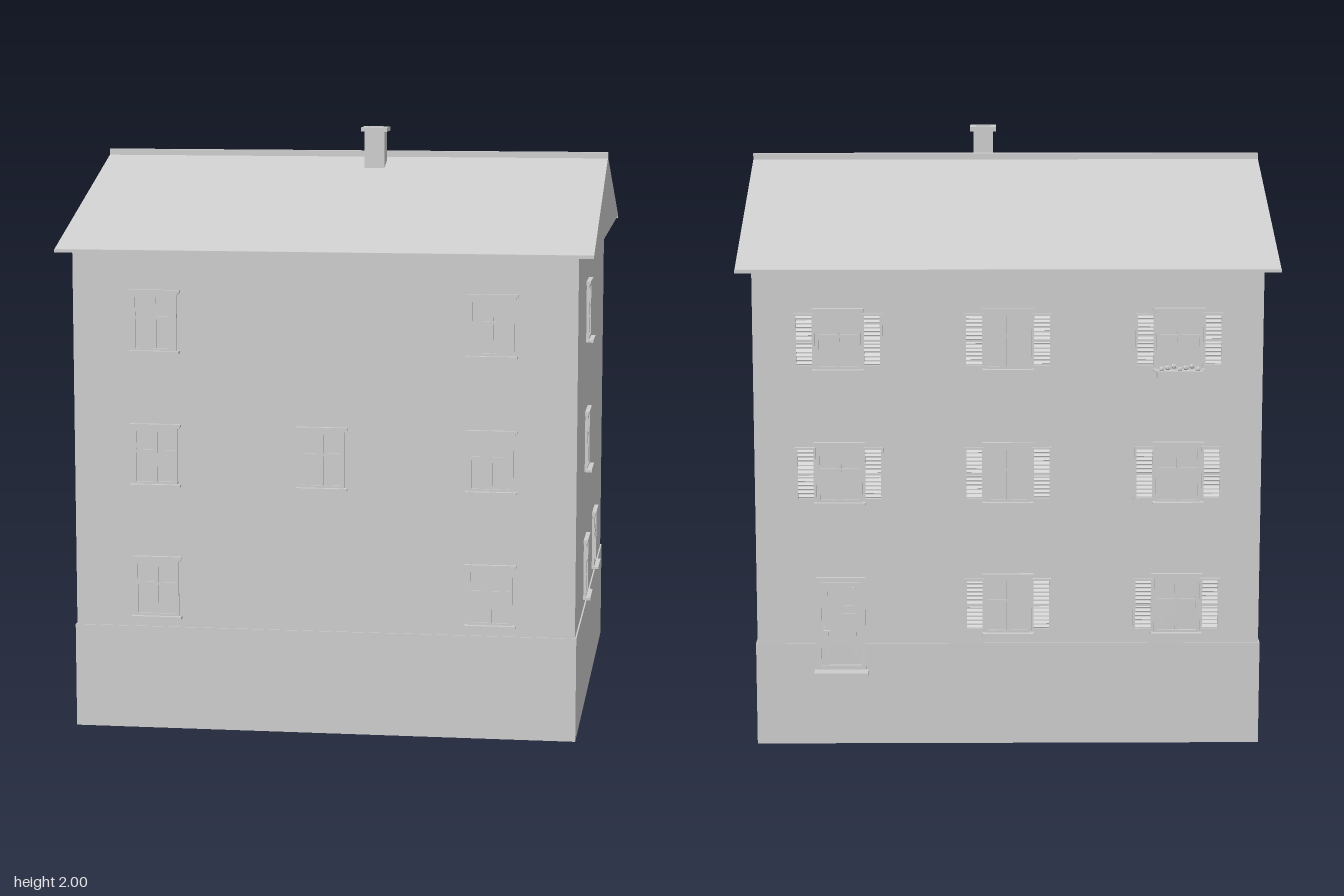
import * as THREE from 'three';

const wallGrey = new THREE.MeshStandardMaterial({ color: 0xcccccc });
wallGrey.name = 'plain grey';

const HX = 0.842, FRONT = 0.83, BACK = -0.825; // wall planes
const ROWS = [0.38, 0.83, 1.28];               // window sill heights

// Box given by its centre in x, bottom in y and back in z
function box(parent, name, x, y, z, w, h, d) {
  const mesh = new THREE.Mesh(new THREE.BoxGeometry(w, h, d), wallGrey);
  mesh.position.set(x, y + h / 2, z + d / 2);
  mesh.name = name;
  parent.add(mesh);
  return mesh;
}

// Extrude an outline drawn in (z, y) along x, centred
function prism(parent, name, points, length) {
  const shape = new THREE.Shape(points.map(([z, y]) => new THREE.Vector2(-z, y)));
  const geo = new THREE.ExtrudeGeometry(shape, { depth: length, bevelEnabled: false });
  geo.translate(0, 0, -length / 2).rotateY(Math.PI / 2);
  const mesh = new THREE.Mesh(geo, wallGrey);
  mesh.name = name;
  parent.add(mesh);
}

// Rectangular ring, centred in x, standing on y = y
function ring(parent, name, x, y, z, w, h, border, depth) {
  const s = new THREE.Shape();
  const rect = (p, b) => {
    p.moveTo(-w / 2 + b, b);
    p.lineTo(w / 2 - b, b);
    p.lineTo(w / 2 - b, h - b);
    p.lineTo(-w / 2 + b, h - b);
    p.closePath();
    return p;
  };
  rect(s, 0);
  s.holes.push(rect(new THREE.Path(), border));
  const mesh = new THREE.Mesh(new THREE.ExtrudeGeometry(s, { depth, bevelEnabled: false }), wallGrey);
  mesh.position.set(x, y, z);
  mesh.name = name;
  parent.add(mesh);
}

// Louvred shutter, 0.07 wide
function shutter(parent, x) {
  const g = new THREE.Group();
  g.name = 'shutter';
  const h = 0.182;
  ring(g, 'shutterFrame', 0, 0, 0, 0.068, h, 0.008, 0.009);
  box(g, 'shutterRail', 0, h / 2 - 0.004, 0, 0.054, 0.008, 0.009);
  for (let i = 0; i < 12; i++) {
    const y = 0.012 + i * 0.0138;
    box(g, 'slat', 0, y, 0.001, 0.054, 0.009, 0.003).rotation.x = -0.5;
  }
  g.position.set(x, 0.012, 0);
  parent.add(g);
}

// Window facing +z with its sill at the origin
function windowUnit(w, shutters) {
  const g = new THREE.Group();
  g.name = 'window';
  const h = 0.19;
  box(g, 'glass', 0, 0.008, -0.002, w - 0.01, h - 0.01, 0.004);
  ring(g, 'frame', 0, 0.006, 0, w, h, 0.01, 0.009);
  box(g, 'mullion', 0, 0.012, 0, 0.012, h - 0.014, 0.008);
  box(g, 'transom', 0, 0.113, 0, w - 0.016, 0.01, 0.007);
  box(g, 'sill', 0, 0, -0.005, w + 0.02, 0.008, 0.03);
  box(g, 'lintel', 0, 0.196, -0.005, w + 0.012, 0.006, 0.016);
  box(g, 'lintelCap', 0, 0.202, -0.005, w + 0.022, 0.009, 0.02);
  if (shutters) for (const s of [-1, 1]) shutter(g, s * (w / 2 + 0.037));
  return g;
}

function place(parent, object, x, y, z, turn) {
  object.position.set(x, y, z);
  object.rotation.y = turn;
  parent.add(object);
}

// Door facing +z, origin at the threshold
function door() {
  const g = new THREE.Group();
  g.name = 'door';
  box(g, 'doorLeaf', 0, 0, -0.002, 0.135, 0.3, 0.006);
  ring(g, 'doorFrame', 0, 0, 0, 0.165, 0.32, 0.016, 0.013);
  ring(g, 'upperPanel', 0, 0.215, 0.003, 0.1, 0.07, 0.006, 0.004);
  ring(g, 'lowerPanel', 0, 0.03, 0.003, 0.1, 0.165, 0.006, 0.004);
  box(g, 'handlePlate', -0.056, 0.12, 0.003, 0.008, 0.03, 0.004);
  box(g, 'handle', -0.048, 0.132, 0.007, 0.024, 0.006, 0.013);
  box(g, 'doorstep', 0, -0.014, 0, 0.18, 0.015, 0.058);
  box(g, 'lowerStep', 0, -0.024, 0, 0.165, 0.01, 0.012);
  return g;
}

// Planter below a window
function flowerBox() {
  const g = new THREE.Group();
  g.name = 'flowerBox';
  box(g, 'planter', 0, -0.015, 0.02, 0.15, 0.022, 0.032);
  for (let i = 0; i < 7; i++) {
    const plant = new THREE.Mesh(new THREE.IcosahedronGeometry(0.009, 0), wallGrey);
    plant.position.set(-0.06 + i * 0.02, 0.012 + (i % 3) * 0.005, 0.036);
    plant.name = 'plant';
    g.add(plant);
  }
  return g;
}

export function createModel() {
  const house = new THREE.Group();
  house.name = 'house';

  // Walls and plinth
  box(house, 'walls', 0, 0.3, BACK, HX * 2, 1.326, FRONT - BACK);
  box(house, 'plinth', 0, 0, BACK - 0.005, HX * 2 + 0.01, 0.35, FRONT - BACK + 0.01);

  // Roof, eaves boards and ridge
  prism(house, 'roof', [[-0.872, 1.625], [0, 1.895], [0.872, 1.625]], 1.786);
  for (const s of [-1, 1]) box(house, 'eavesBoard', 0, 1.615, s * 0.873 - 0.005, 1.786, 0.011, 0.01);
  prism(house, 'ridgeCap', [[-0.013, 1.885], [-0.013, 1.912], [0.013, 1.912], [0.013, 1.885]], 1.786);

  // Chimney with a hollow cap
  box(house, 'chimney', 0.08, 1.84, 0.048, 0.07, 0.145, 0.074);
  const cap = new THREE.Group();
  cap.name = 'chimneyCap';
  ring(cap, 'capRing', 0, -0.046, 0, 0.092, 0.092, 0.02, 0.015);
  cap.rotation.x = -Math.PI / 2;
  cap.position.set(0.08, 1.985, 0.085);
  house.add(cap);

  // Front windows
  for (const y of ROWS) for (const x of [-0.565, 0.56])
    place(house, windowUnit(0.15), x, y, FRONT, 0);
  place(house, windowUnit(0.15), -0.003, ROWS[1], FRONT, 0);

  // Side windows
  for (const y of ROWS) {
    place(house, windowUnit(0.138), HX, y, 0.28, Math.PI / 2);
    for (const z of [-0.275, 0.275]) place(house, windowUnit(0.138), -HX, y, z, -Math.PI / 2);
  }
  place(house, windowUnit(0.138), HX, ROWS[0], -0.27, Math.PI / 2);

  // Back windows with shutters, door and planter
  ROWS.forEach((y, row) => {
    for (const x of [-0.565, 0, 0.56])
      if (row > 0 || x < 0.5) place(house, windowUnit(0.15, true), x, y, BACK, Math.PI);
  });
  place(house, door(), 0.56, 0.26, BACK, Math.PI);
  place(house, flowerBox(), -0.565, ROWS[2], BACK, Math.PI);

  return house;
}
